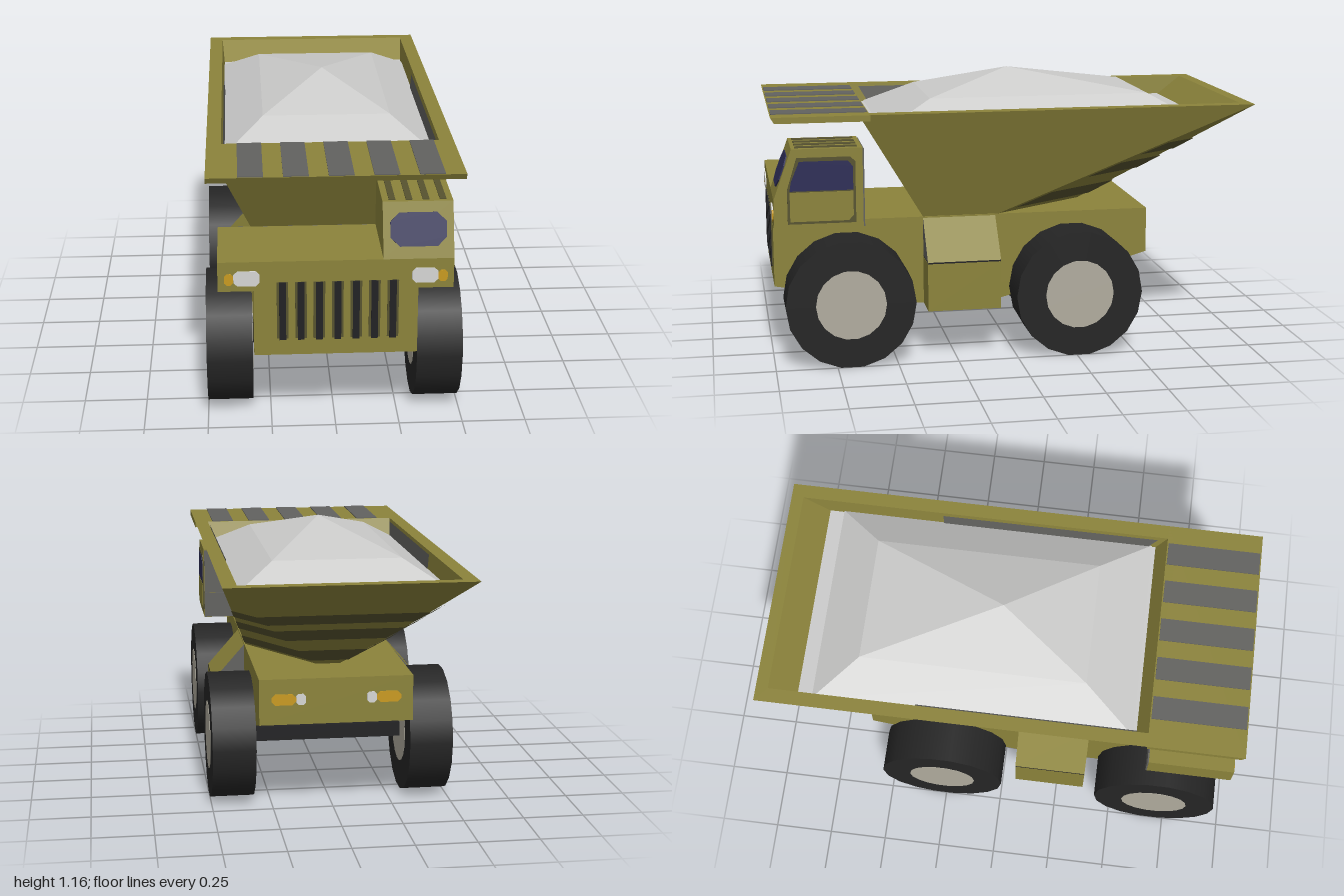
import * as THREE from 'three';

const mat = (name, color, double = false) => {
  const m = new THREE.MeshStandardMaterial({ color });
  m.name = name;
  if (double) m.side = THREE.DoubleSide;
  return m;
};

export function createModel() {
  const truck = new THREE.Group();
  truck.name = 'dumpTruck';

  const olive = mat('olive paint', 0x8b833b, true);
  const darkOlive = mat('dark olive trim', 0x57532f, true);
  const grey = mat('grey stripe', 0x62625f, true);
  const black = mat('grille black', 0x222224);
  const rubber = mat('tyre rubber', 0x252525);
  const hubMat = mat('hub metal', 0xb0ac9e);
  const glass = mat('window glass', 0x2d2d56);
  const white = mat('lamp white', 0xd6d6d4);
  const amber = mat('lamp amber', 0xc99a20);
  const gravel = mat('gravel', 0xcccccb, true);

  const add = (name, geo, material, x = 0, y = 0, z = 0) => {
    const m = new THREE.Mesh(geo, material);
    m.name = name;
    m.position.set(x, y, z);
    truck.add(m);
    return m;
  };
  const shapeOf = (pts) => new THREE.Shape(pts.map(([u, v]) => new THREE.Vector2(u, v)));
  const extrude = (pts, depth) => new THREE.ExtrudeGeometry(shapeOf(pts), { depth, bevelEnabled: false });
  // Side profile of (z, y) points, extruded between two x positions
  const sideProfile = (pts, x0, x1) => extrude(pts, x1 - x0).rotateY(-Math.PI / 2).translate(x1, 0, 0);
  const box = (name, m, x0, x1, y0, y1, z0, z1) =>
    add(name, new THREE.BoxGeometry(x1 - x0, y1 - y0, z1 - z0), m, (x0 + x1) / 2, (y0 + y1) / 2, (z0 + z1) / 2);
  // Rectangle with cut corners, centred on the origin
  const cutRect = (w, h, c) => {
    const a = w / 2, b = h / 2;
    return [[-a + c, -b], [a - c, -b], [a, -b + c], [a, b - c], [a - c, b], [-a + c, b], [-a, b - c], [-a, -b + c]];
  };
  // Flat-faced surface from corner loops of three or four points
  const faces = (loops) => {
    const pos = [];
    for (const f of loops)
      for (let i = 1; i < f.length - 1; i++) pos.push(...f[0], ...f[i], ...f[i + 1]);
    const g = new THREE.BufferGeometry();
    g.setAttribute('position', new THREE.Float32BufferAttribute(pos, 3));
    g.computeVertexNormals();
    return g;
  };
  const flip = ([x, y, z]) => [-x, y, z];
  const mirrorLoop = (f) => f.map(flip).reverse();

  // Chassis and front deck
  add('chassis', sideProfile([[0.99, 0.6], [0.99, 0.31], [0.46, 0.21], [0.06, 0.21], [-0.59, 0.39],
    [-0.59, 0.58], [0.62, 0.58]], -0.315, 0.315), olive);
  box('frontDeck', olive, -0.45, 0.45, 0.58, 0.70, 0.63, 0.99);
  box('deckBack', grey, -0.449, 0.449, 0.582, 0.698, 0.624, 0.63);

  // Cab with sloped windscreen
  add('cab', sideProfile([[0.99, 0.69], [0.99, 0.70], [0.915, 0.905], [0.63, 0.905], [0.63, 0.69]], 0.18, 0.45), olive);
  box('cabBack', grey, 0.182, 0.448, 0.70, 0.90, 0.624, 0.63);
  add('windscreen', extrude(cutRect(0.215, 0.13, 0.035), 0.005).rotateX(-0.36), glass, 0.315, 0.805, 0.952);
  const side = (pts) => sideProfile(pts, 0.45, 0.454);
  add('doorFrame', side([[0.935, 0.60], [0.935, 0.74], [0.895, 0.87], [0.68, 0.87], [0.66, 0.85], [0.66, 0.60]]), darkOlive);
  add('doorPanel', side([[0.925, 0.61], [0.925, 0.73], [0.67, 0.73], [0.67, 0.63], [0.69, 0.61]]), olive, 0.002);
  add('sideWindow', side([[0.925, 0.735], [0.92, 0.77], [0.885, 0.855], [0.69, 0.855], [0.67, 0.83], [0.67, 0.735]]), glass, 0.002);
  for (let i = 0; i < 4; i++)
    box('roofStripe', darkOlive, 0.205 + i * 0.065, 0.23 + i * 0.065, 0.905, 0.909, 0.65, 0.90);

  // Grille slots
  for (let i = -3; i <= 3; i++) {
    const x = 0.007 + i * 0.0705;
    box('grilleFrame', darkOlive, x - 0.022, x + 0.022, 0.38, 0.615, 0.988, 0.994);
    box('grilleSlot', black, x - 0.013, x + 0.013, 0.375, 0.615, 0.99, 0.998);
  }

  // Lamps, front and rear
  for (const s of [-1, 1]) {
    add('headlight', extrude(cutRect(0.1, 0.06, 0.015), 0.006), white, s * 0.34, 0.633, 0.99);
    add('frontIndicator', extrude(cutRect(0.035, 0.045, 0.01), 0.006), amber, s * 0.408, 0.63, 0.99);
    add('rearIndicator', extrude(cutRect(0.1, 0.045, 0.015), 0.006), amber, s * 0.215, 0.495, -0.596);
    add('reverseLight', extrude(cutRect(0.04, 0.045, 0.01), 0.006), white, s * 0.145, 0.495, -0.596);
  }

  // Side tanks with sloped covers
  for (const s of [-1, 1]) {
    const [a, b] = s > 0 ? [0.30, 0.455] : [-0.455, -0.30];
    box('sideTank', olive, a, b, 0.21, 0.41, 0.065, 0.37);
    const wedge = [[s * 0.30, 0.415], [s * 0.455, 0.415], [s * 0.31, 0.58], [s * 0.30, 0.58]];
    add('tankCover', extrude(s > 0 ? wedge : wedge.reverse(), 0.305), [grey, olive], 0, 0, 0.065);
    box('tankSeam', black, a, b, 0.408, 0.416, 0.066, 0.369);
  }

  // Wheels with hub discs on both sides
  for (const s of [-1, 1])
    for (const z of [0.69, -0.26]) {
      add('tyre', new THREE.CylinderGeometry(0.266, 0.266, 0.18, 18).rotateZ(Math.PI / 2), rubber, s * 0.41, 0.265, z);
      add('hub', new THREE.CylinderGeometry(0.144, 0.144, 0.184, 18).rotateZ(Math.PI / 2), hubMat, s * 0.41, 0.265, z);
    }
  for (const z of [0.69, -0.26]) box('axle', black, -0.33, 0.33, 0.235, 0.295, z - 0.03, z + 0.03);

  // Dump body: sloped sides, tapered tail and rim
  const A = [0.31, 0.58, 0.37], B = [0.31, 0.58, 0.05], C = [0.05, 0.58, -0.35];
  const D = [0.488, 1.04, -1], E = [0.488, 1.04, 0.645];
  const I0 = [0.43, 1.04, -0.95], I1 = [0.43, 1.04, 0.60];
  const J0 = [0.42, 0.95, -0.83], J1 = [0.42, 0.95, 0.55];
  const half = [[A, B, D, E], [B, C, D], [D, I0, I1, E], [I0, J0, J1, I1]];
  add('dumpBody', faces([
    ...half, ...half.map(mirrorLoop),
    [C, flip(C), flip(D), D], [A, E, flip(E), flip(A)],
    [D, flip(D), flip(I0), I0], [E, I1, flip(I1), flip(E)],
    [I0, flip(I0), flip(J0), J0], [I1, J1, flip(J1), flip(I1)],
  ]), olive);

  // Canopy lip over the cab, with warning stripes
  add('canopyLip', sideProfile([[0.60, 1.015], [0.98, 1.015], [0.995, 1.04], [0.60, 1.04]], -0.488, 0.488), olive);
  for (let i = -2; i <= 2; i++)
    box('canopyStripe', grey, 0.02 + i * 0.17 - 0.048, 0.02 + i * 0.17 + 0.048, 1.04, 1.044, 0.605, 0.99);

  // Stripes wrapped under the tail
  const lerp = (p, q, t) => p.map((v, i) => v + (q[i] - v) * t);
  for (const [y0, y1] of [[0.885, 0.835], [0.80, 0.74], [0.675, 0.61]]) {
    const t0 = (1.04 - y0) / 0.46, t1 = (1.04 - y1) / 0.46;
    const b0 = lerp(D, B, t0), b1 = lerp(D, B, t1), c0 = lerp(D, C, t0), c1 = lerp(D, C, t1);
    const corner = [b0, b1, c1, c0];
    add('tailStripe', faces([corner, mirrorLoop(corner), [c0, c1, flip(c1), flip(c0)]]), darkOlive, 0, -0.005, -0.003);
  }

  // Grey wear panels inside the side walls
  const panel = [[0.422, 1.03, -0.35], [0.416, 0.96, -0.35], [0.416, 0.96, 0.52], [0.422, 1.03, 0.56]];
  add('wearPanels', faces([panel, mirrorLoop(panel)]), grey);

  // Gravel heap: base, shoulder and peak rings
  const ring = (x, y, z0, z1) => [[x, y, z1], [x, y, z0], [-x, y, z0], [-x, y, z1]];
  const base = ring(0.425, 0.965, -0.78, 0.54), shoulder = ring(0.26, 1.066, -0.60, 0.33);
  const peak = [0, 1.16, -0.04];
  const heap = [];
  for (let i = 0; i < 4; i++) {
    const j = (i + 1) % 4;
    heap.push([base[i], base[j], shoulder[j], shoulder[i]], [shoulder[i], shoulder[j], peak]);
  }
  heap.push(ring(0.42, 0.962, -0.84, 0.555));
  add('gravelLoad', faces(heap), gravel);

  return truck;
}
